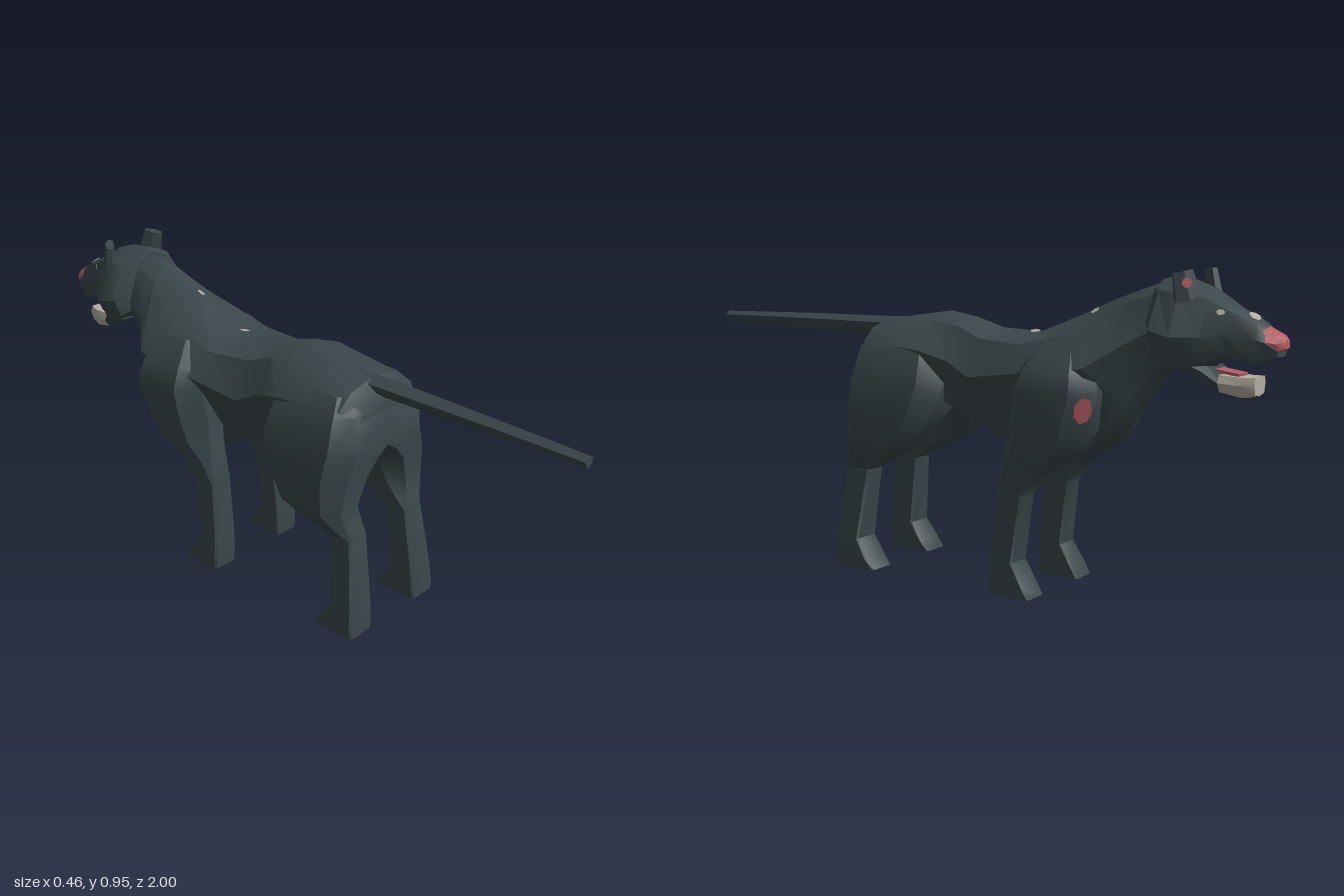
import * as THREE from 'three';
import { toCreasedNormals } from 'three/addons/utils/BufferGeometryUtils.js';

const mat = (name, color) => {
  const m = new THREE.MeshStandardMaterial({ color });
  m.name = name;
  return m;
};

// Skin a list of equal-length rings of [x, y, z] points and cap both ends
function loft(rings, crease = 0.65) {
  const n = rings[0].length, last = rings.length - 1;
  const pts = rings.flat();
  const centre = r => [0, 1, 2].map(k => r.reduce((s, p) => s + p[k], 0) / n);
  pts.push(centre(rings[0]), centre(rings[last]));
  const tris = [];
  for (let j = 0; j < n; j++) {
    const k = (j + 1) % n;
    for (let i = 0; i < last; i++) {
      const a = i * n + j, b = i * n + k;
      tris.push([a, b, b + n], [a, b + n, a + n]);
    }
    tris.push([pts.length - 2, k, j], [pts.length - 1, last * n + j, last * n + k]);
  }
  // Turn every face outward by the sign of the enclosed volume
  const v = pts.map(p => new THREE.Vector3(...p));
  const volume = tris.reduce((s, [a, b, c]) => s + v[a].dot(v[b].clone().cross(v[c])), 0);
  if (volume < 0) tris.forEach(t => t.reverse());
  const geo = new THREE.BufferGeometry();
  geo.setAttribute('position', new THREE.Float32BufferAttribute(pts.flat(), 3));
  geo.setIndex(tris.flat());
  return toCreasedNormals(geo, crease);
}

// Symmetric section across z: top, upper x/y, middle x/y, lower x/y, bottom
const section = ([z, top, ux, uy, mx, my, lx, ly, bot]) => [
  [0, top, z], [ux, uy, z], [mx, my, z], [lx, ly, z],
  [0, bot, z], [-lx, ly, z], [-mx, my, z], [-ux, uy, z]];

// Chamfered rectangle at height y, mirrored by side
const legRing = side => ([y, z0, z1, x0, x1, c]) => {
  const cx = (x1 - x0) * c * 1.5, cz = (z1 - z0) * c;
  return [[x0 + cx, z0], [x1 - cx, z0], [x1, z0 + cz], [x1, z1 - cz],
    [x1 - cx, z1], [x0 + cx, z1], [x0, z1 - cz], [x0, z0 + cz]].map(([x, z]) => [x * side, y, z]);
};

const BODY = [
  [0.335, 0.72, 0.07, 0.71, 0.12, 0.67, 0.08, 0.62, 0.605],
  [0.295, 0.778, 0.10, 0.758, 0.15, 0.715, 0.12, 0.60, 0.58],
  [0.07, 0.81, 0.10, 0.785, 0.18, 0.70, 0.13, 0.56, 0.51],
  [-0.02, 0.795, 0.095, 0.77, 0.155, 0.67, 0.11, 0.53, 0.50],
  [-0.10, 0.767, 0.11, 0.74, 0.17, 0.63, 0.09, 0.48, 0.465],
  [-0.25, 0.76, 0.13, 0.73, 0.185, 0.65, 0.055, 0.39, 0.385],
  [-0.40, 0.82, 0.125, 0.765, 0.20, 0.67, 0.055, 0.385, 0.38],
  [-0.49, 0.86, 0.095, 0.805, 0.195, 0.68, 0.08, 0.46, 0.44],
  [-0.57, 0.89, 0.06, 0.86, 0.12, 0.74, 0.08, 0.57, 0.53],
  [-0.66, 0.92, 0.06, 0.89, 0.10, 0.79, 0.06, 0.69, 0.66],
  [-0.72, 0.91, 0.05, 0.88, 0.08, 0.79, 0.05, 0.72, 0.71]];

const HEAD = [
  [-0.64, 0.922, 0.055, 0.90, 0.11, 0.81, 0.09, 0.75, 0.74],
  [-0.665, 0.928, 0.085, 0.895, 0.15, 0.79, 0.125, 0.73, 0.72],
  [-0.73, 0.926, 0.10, 0.888, 0.162, 0.775, 0.115, 0.69, 0.68],
  [-0.80, 0.90, 0.08, 0.875, 0.115, 0.775, 0.085, 0.70, 0.69],
  [-0.85, 0.862, 0.058, 0.848, 0.08, 0.78, 0.065, 0.725, 0.72],
  [-0.93, 0.822, 0.042, 0.81, 0.064, 0.77, 0.055, 0.708, 0.706],
  [-0.955, 0.80, 0.038, 0.79, 0.058, 0.765, 0.05, 0.718, 0.716],
  [-0.985, 0.752, 0.026, 0.75, 0.036, 0.742, 0.03, 0.726, 0.724]];
const NOSE = [
  [-0.947, 0.806, 0.04, 0.796, 0.06, 0.767, 0.045, 0.748, 0.746],
  [-0.985, 0.787, 0.028, 0.78, 0.04, 0.76, 0.034, 0.74, 0.738],
  [-1.0, 0.772, 0.012, 0.77, 0.018, 0.76, 0.016, 0.748, 0.746]];

const JAW = [
  [-0.72, 0.73, 0.07, 0.73, 0.10, 0.715, 0.07, 0.685, 0.68],
  [-0.79, 0.695, 0.055, 0.695, 0.075, 0.68, 0.052, 0.655, 0.65],
  [-0.83, 0.672, 0.05, 0.672, 0.06, 0.65, 0.044, 0.625, 0.62]];
const CHIN = [JAW[2], [-0.89, 0.667, 0.045, 0.667, 0.052, 0.646, 0.04, 0.613, 0.608],
  [-0.927, 0.668, 0.034, 0.668, 0.04, 0.65, 0.032, 0.622, 0.616]];

// Legs: height, front z, back z, inner x, outer x, chamfer
const HIND = [
  [0.01, 0.235, 0.39, 0.10, 0.192, 0.04], [0.04, 0.26, 0.39, 0.096, 0.197, 0.04],
  [0.10, 0.30, 0.385, 0.095, 0.19, 0.05], [0.32, 0.27, 0.358, 0.088, 0.165, 0.08],
  [0.36, 0.19, 0.345, 0.08, 0.195, 0.15], [0.41, 0.10, 0.335, 0.07, 0.224, 0.18],
  [0.50, 0.035, 0.345, 0.03, 0.224, 0.18], [0.55, 0.015, 0.35, -0.02, 0.218, 0.17],
  [0.60, 0.005, 0.354, -0.10, 0.209, 0.15], [0.70, 0.03, 0.33, -0.10, 0.172, 0.13],
  [0.745, 0.09, 0.295, -0.08, 0.13, 0.13]];
const FORE = [
  [0, -0.322, -0.19, 0.10, 0.187, 0.04], [0.03, -0.305, -0.187, 0.098, 0.19, 0.04],
  [0.10, -0.262, -0.188, 0.098, 0.185, 0.05], [0.30, -0.29, -0.202, 0.095, 0.174, 0.08],
  [0.38, -0.36, -0.215, 0.085, 0.19, 0.15], [0.43, -0.455, -0.225, 0.06, 0.207, 0.2],
  [0.50, -0.495, -0.235, 0.03, 0.218, 0.22], [0.61, -0.525, -0.25, 0.01, 0.231, 0.2],
  [0.67, -0.51, -0.26, 0, 0.208, 0.2], [0.745, -0.46, -0.31, 0, 0.14, 0.2]];

export function createModel() {
  const model = new THREE.Group();
  model.name = 'bigCat';
  const coat = mat('slateCoat', 0x3b474b);
  const pink = mat('pinkSkin', 0xb45c62);
  const cream = mat('creamFur', 0xb3ada0);

  const add = (name, geo, material) => {
    const mesh = new THREE.Mesh(geo, material);
    mesh.name = name;
    model.add(mesh);
    return mesh;
  };

  const body = add('body', loft(BODY.map(section)), coat);
  const head = add('head', loft(HEAD.map(section)), coat);
  add('nose', loft(NOSE.map(section)), pink);
  add('lowerJaw', loft(JAW.map(section)), coat);
  add('chin', loft(CHIN.map(section)), cream);

  // Tongue lying in the open mouth
  const tongue = add('tongue', new THREE.BoxGeometry(0.06, 0.008, 0.07), pink);
  tongue.position.set(0, 0.676, -0.845);
  tongue.rotation.x = -0.15;

  // Tail, tapering straight back with a keeled underside
  const tailRing = ([z, y, w, h]) =>
    [[0, h], [w, h * 0.4], [w * 0.6, -h * 0.5], [0, -h], [-w * 0.6, -h * 0.5], [-w, h * 0.4]]
      .map(([x, dy]) => [x, y + dy, z]);
  add('tail', loft([[0.2, 0.762, 0.04, 0.026], [0.3, 0.752, 0.035, 0.032], [0.65, 0.756, 0.027, 0.026],
    [1, 0.758, 0.02, 0.018]].map(tailRing)), coat);

  // Flat patch laid where a ray meets a part
  const patch = (name, target, from, dir, rx, ry, material) => {
    target.updateMatrixWorld();
    const ray = new THREE.Raycaster(new THREE.Vector3(...from), new THREE.Vector3(...dir).normalize());
    const hit = ray.intersectObject(target)[0];
    if (!hit) return;
    const spot = add(name, new THREE.CircleGeometry(1, 7), material);
    spot.scale.set(rx, ry, 1);
    spot.position.copy(hit.point).addScaledVector(hit.face.normal, 0.004);
    spot.lookAt(spot.position.clone().add(hit.face.normal));
  };

  for (const side of [1, -1]) {
    const label = side > 0 ? 'left' : 'right';
    add(label + 'HindLeg', loft(HIND.map(legRing(side))), coat);
    const fore = add(label + 'FrontLeg', loft(FORE.map(legRing(side))), coat);

    // Ear with a pink inner plate, turned outward and leaning back
    const ear = new THREE.Group();
    ear.name = label + 'Ear';
    const shell = new THREE.Mesh(toCreasedNormals(new THREE.CylinderGeometry(0.032, 0.042, 0.08, 6), 0.5), coat);
    shell.name = 'earShell';
    shell.scale.z = 0.45;
    const inner = new THREE.Mesh(new THREE.CircleGeometry(0.015, 6), pink);
    inner.name = 'earInner';
    inner.position.set(0, 0.008, -0.021);
    inner.rotation.y = Math.PI;
    ear.add(shell, inner);
    ear.position.set(0.09 * side, 0.908, -0.745);
    ear.rotation.set(0.3, -0.8 * side, -0.3 * side, 'ZYX');
    model.add(ear);

    patch(label + 'Eye', head, [0.2 * side, 0.84, -0.95], [-side, 0, 0.85], 0.012, 0.008, cream);
    patch(label + 'ShoulderPatch', fore, [0.4 * side, 0.565, -0.70], [-side, 0, 0.98], 0.028, 0.04, pink);
    patch(label + 'MuzzleMark', head, [0.013 * side, 1.2, -0.912], [0, -1, 0], 0.016, 0.02, cream);
  }

  // Pale marks along the spine
  patch('witherMark', body, [0.02, 1.2, -0.44], [0, -1, 0], 0.016, 0.014, cream);
  patch('backMark', body, [0.01, 1.2, -0.235], [0, -1, 0], 0.016, 0.014, cream);
  return model;
}
